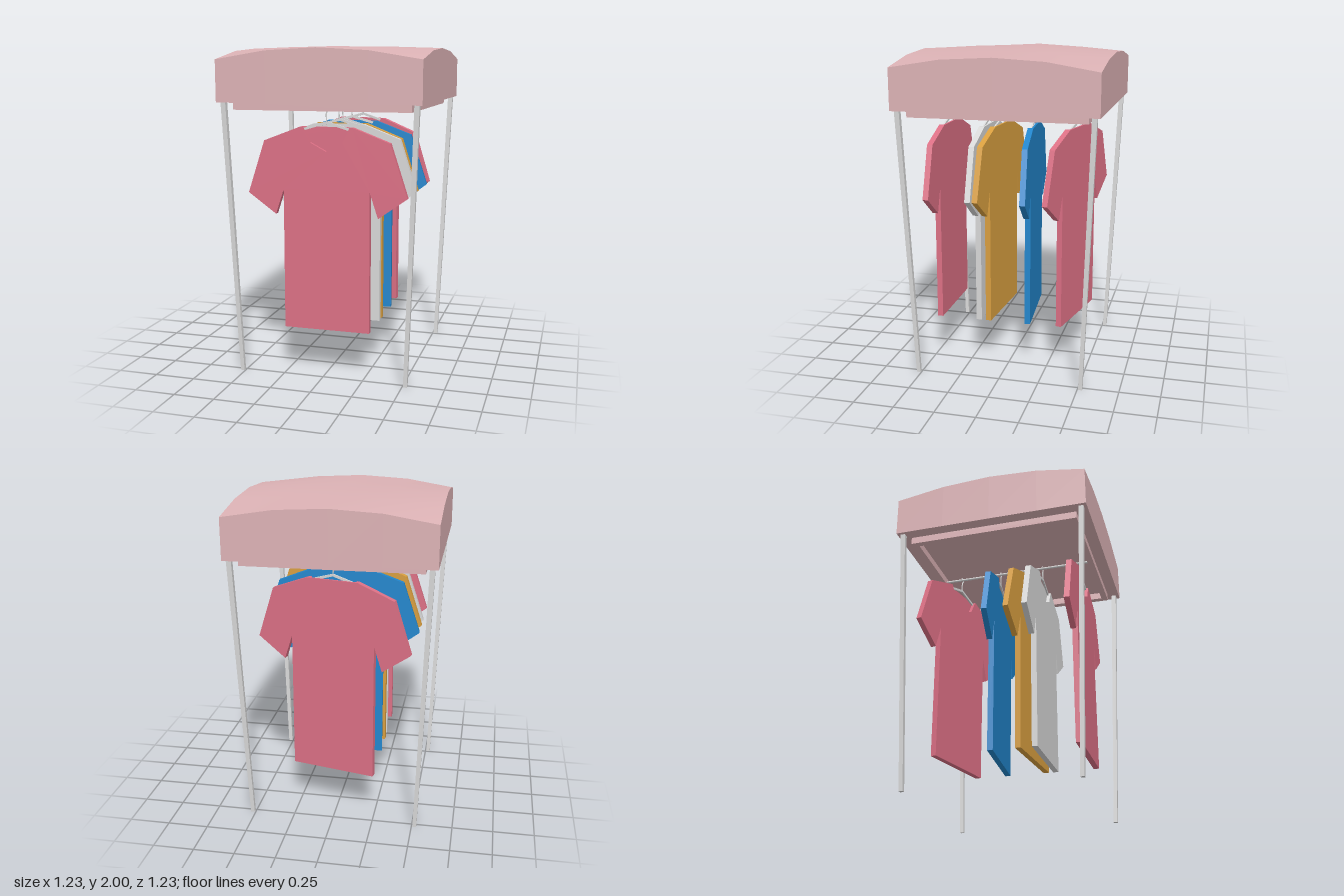
import * as THREE from 'three';

const mat = (name, color) => {
  const m = new THREE.MeshStandardMaterial({ color });
  m.name = name;
  return m;
};

export function createModel() {
  const canopyPink = mat('canopy pink', 0xdcb2b5);
  const rose = mat('rose', 0xdc7085);
  const blue = mat('blue', 0x2286cc);
  const mustard = mat('mustard', 0xd99f40);
  const lightGrey = mat('light grey', 0xd8d8d8);

  const model = new THREE.Group();
  model.name = 'shirtStand';
  const add = (parent, name, geometry, material, x = 0, y = 0, z = 0) => {
    const mesh = new THREE.Mesh(geometry, material);
    mesh.name = name;
    mesh.position.set(x, y, z);
    parent.add(mesh);
    return mesh;
  };

  // Canopy: a box whose top face swells into a shallow dome
  const half = 0.615;
  const canopy = new THREE.BoxGeometry(half * 2, 0.25, half * 2, 4, 1, 4);
  const cp = canopy.attributes.position;
  for (let i = 0; i < cp.count; i++) {
    if (cp.getY(i) < 0) continue;
    const a = 1 - (cp.getX(i) / half) ** 2;
    const b = 1 - (cp.getZ(i) / half) ** 2;
    cp.setY(i, 0.125 + 0.067 * (a + b) - 0.054 * a * b);
  }
  canopy.computeVertexNormals();
  add(model, 'canopy', canopy, canopyPink, 0, 1.795, 0);

  // Square frame under the canopy
  const square = (s, Type) => new Type([[-s, -s], [s, -s], [s, s], [-s, s]].map(p => new THREE.Vector2(...p)));
  const frameShape = square(0.54, THREE.Shape);
  frameShape.holes.push(square(0.5, THREE.Path));
  const frame = new THREE.ExtrudeGeometry(frameShape, { depth: 0.05, bevelEnabled: false });
  frame.rotateX(-Math.PI / 2);
  add(model, 'underFrame', frame, canopyPink, 0, 1.625, 0);

  // Hanging rail running front to back
  const rail = new THREE.CylinderGeometry(0.008, 0.008, 1.02, 8);
  rail.rotateX(Math.PI / 2);
  add(model, 'rail', rail, lightGrey, 0.014, 1.642, 0);

  // Four square legs leaning inwards towards the floor
  for (const sx of [-1, 1]) {
    for (const sz of [-1, 1]) {
      const leg = new THREE.BoxGeometry(1, 1.675, 1);
      const p = leg.attributes.position;
      for (let i = 0; i < p.count; i++) {
        const top = p.getY(i) > 0;
        const width = top ? 0.03 : 0.024;
        const offset = top ? 0.58 : 0.518;
        p.setX(i, p.getX(i) * width + sx * offset);
        p.setZ(i, p.getZ(i) * width + sz * offset);
      }
      leg.computeVertexNormals();
      add(model, 'leg', leg, lightGrey, 0, 0.8375, 0);
    }
  }

  // Shirt panels: right half of the outline, mirrored to the left
  const side = [[0.267, 0.29], [0.267, 1.15], [0.318, 0.996], [0.4925, 1.122], [0.388, 1.441], [0.16, 1.528]];
  const neck = [[0.145, 1.528], [0.1, 1.436], [0, 1.383], [-0.1, 1.436], [-0.145, 1.528]];
  const panel = (notch, depth) => {
    const mirrored = side.map(([x, y]) => [-x, y]).reverse();
    const points = [...side, ...notch, ...mirrored].map(p => new THREE.Vector2(...p));
    return new THREE.ExtrudeGeometry(new THREE.Shape(points), { depth, bevelEnabled: false });
  };
  const backPanel = panel([], 0.012);
  const frontPanel = panel(neck, 0.023);

  // Hanger: two sloping arms and a hook curling over the rail
  const armShape = new THREE.Shape(
    [[0, 1.562], [-0.25, 1.489], [-0.25, 1.474], [0, 1.547], [0.25, 1.474], [0.25, 1.489]].map(p => new THREE.Vector2(...p)));
  const arms = new THREE.ExtrudeGeometry(armShape, { depth: 0.01, bevelEnabled: false });
  const hookPath = new THREE.CatmullRomCurve3(
    [[0, 1.555], [0, 1.615], [0.012, 1.635], [0, 1.655], [-0.014, 1.642]].map(([x, y]) => new THREE.Vector3(x, y, 0)));
  const hook = new THREE.TubeGeometry(hookPath, 16, 0.004, 6);

  // Five shirts along the rail, some slightly turned
  const shirts = [
    [rose, 0.45, 0],
    [lightGrey, 0.188, 0],
    [mustard, 0.106, -0.075],
    [blue, -0.108, 0.083],
    [rose, -0.387, -0.217],
  ];
  for (const [material, z, turn] of shirts) {
    const shirt = new THREE.Group();
    shirt.name = 'hangingShirt';
    shirt.position.set(0.014, 0, z);
    shirt.rotation.y = turn;
    add(shirt, 'shirtBack', backPanel, material, 0, 0, -0.0175);
    add(shirt, 'shirtFront', frontPanel, material, 0, 0, -0.0055);
    add(shirt, 'hangerArms', arms, lightGrey, 0, 0, -0.005);
    add(shirt, 'hangerHook', hook, lightGrey);
    model.add(shirt);
  }

  return model;
}
